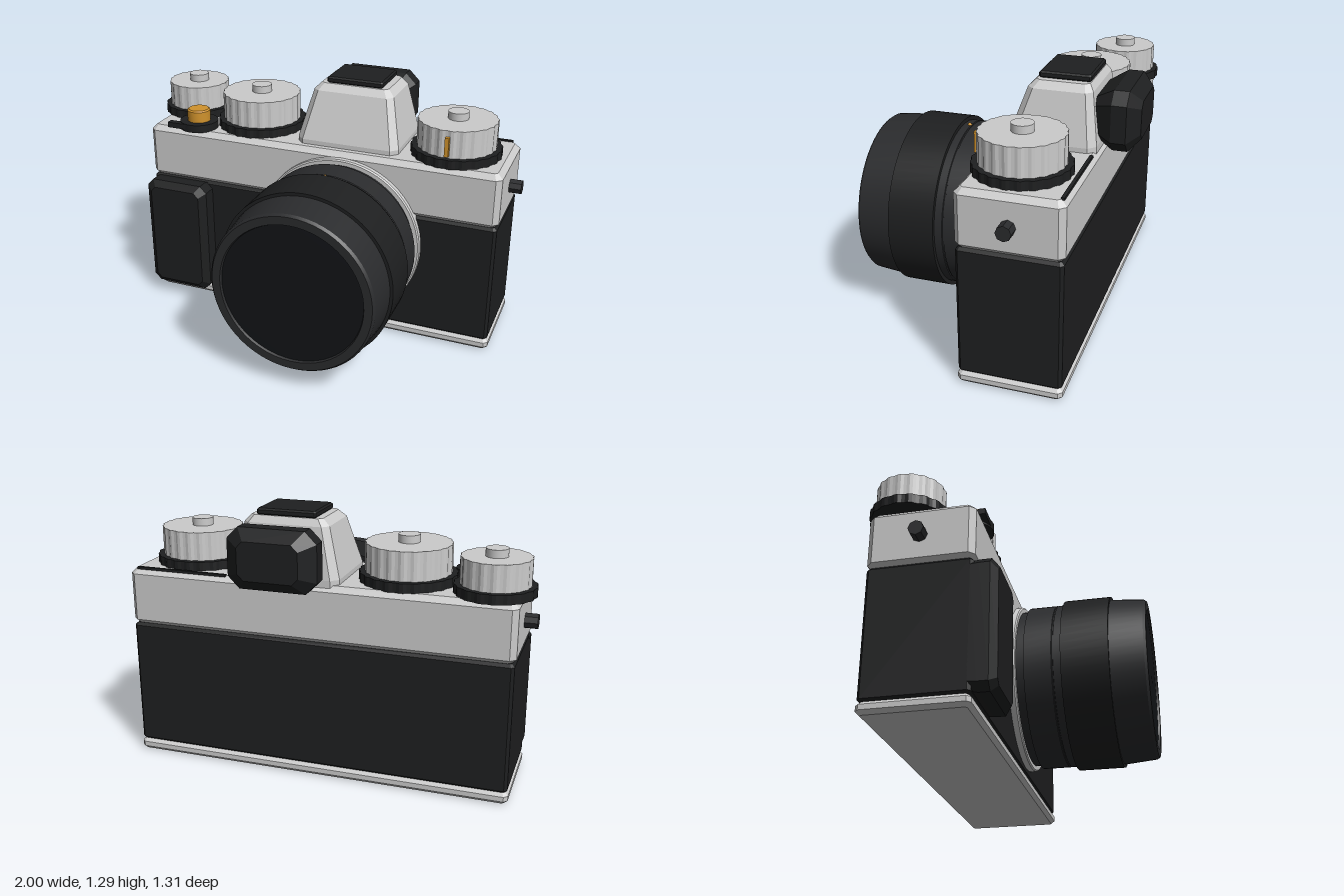
import * as THREE from 'three';
import { toCreasedNormals } from 'three/addons/utils/BufferGeometryUtils.js';

const SILVER = 0xcccccc, BLACK = 0x1e1f20, DARK = 0x2a2b2d, GLASS = 0x121417, ORANGE = 0xd0922c;

function material(color) {
  return new THREE.MeshStandardMaterial({ color });
}

// Stack of octagons (rectangles with cut corners): [halfX, halfZ, cut, y, centreZ]
function loft(sections) {
  const rings = sections.map(([x, z, c, y, cz = 0]) => [
    [-x + c, z], [x - c, z], [x, z - c], [x, -z + c],
    [x - c, -z], [-x + c, -z], [-x, -z + c], [-x, z - c],
  ].map(([px, pz]) => [px, y, pz + cz]));
  const out = [];
  const tri = (a, b, c) => out.push(...a, ...b, ...c);
  for (let i = 0; i < rings.length - 1; i++) {
    for (let k = 0; k < 8; k++) {
      const n = (k + 1) % 8, a = rings[i], b = rings[i + 1];
      tri(a[k], a[n], b[n]);
      tri(a[k], b[n], b[k]);
    }
  }
  const first = rings[0], last = rings[rings.length - 1];
  for (let k = 1; k < 7; k++) {
    tri(last[0], last[k], last[k + 1]);
    tri(first[0], first[k + 1], first[k]);
  }
  const g = new THREE.BufferGeometry();
  g.setAttribute('position', new THREE.Float32BufferAttribute(out, 3));
  g.computeVertexNormals();
  return g;
}

// Box with all edges bevelled, resting on y = 0
function bevelBox(w, h, d, b) {
  const x = w / 2, z = d / 2;
  return loft([
    [x - b, z - b, b * 0.5, 0], [x, z, b, b],
    [x, z, b, h - b], [x - b, z - b, b * 0.5, h],
  ]);
}

// Cylinder resting on y = 0, with alternating flutes on its rim
function fluted(radius, height, flutes, depth) {
  const g = new THREE.CylinderGeometry(radius, radius, height, flutes * 4).toNonIndexed();
  const p = g.attributes.position;
  for (let i = 0; i < p.count; i++) {
    const x = p.getX(i), z = p.getZ(i);
    if (Math.hypot(x, z) < radius * 0.5) continue;
    const step = Math.round(Math.atan2(z, x) / (Math.PI * 2) * flutes * 4);
    const s = (((step % 4) + 4) % 4) < 2 ? 1 : 1 - depth;
    p.setX(i, x * s);
    p.setZ(i, z * s);
  }
  g.translate(0, height / 2, 0);
  g.computeVertexNormals();
  return g;
}

function disc(radius, height, sides = 32) {
  const g = new THREE.CylinderGeometry(radius, radius, height, sides);
  return g.translate(0, height / 2, 0);
}

export function createModel() {
  const model = new THREE.Group();
  model.name = 'camera';

  function add(name, geometry, color, x = 0, y = 0, z = 0, parent = model) {
    const mesh = new THREE.Mesh(geometry, material(color));
    mesh.name = name;
    mesh.position.set(x, y, z);
    parent.add(mesh);
    return mesh;
  }

  // Body
  add('basePlate', bevelBox(1.88, 0.06, 0.49, 0.018), SILVER, 0, 0, -0.245);
  add('leatherBody', bevelBox(1.87, 0.63, 0.482, 0.014), BLACK, 0, 0.055, -0.245);
  add('topCover', bevelBox(1.88, 0.285, 0.49, 0.027), SILVER, 0, 0.677, -0.245);
  add('backSeam', new THREE.BoxGeometry(0.465, 0.012, 0.016), BLACK, 0.668, 0.963, -0.468);

  // Hand grip, lofted towards the front
  const grip = loft([
    [0.175, 0.3, 0.03, -0.02], [0.175, 0.308, 0.035, 0.02],
    [0.175, 0.308, 0.035, 0.07], [0.14, 0.275, 0.025, 0.1],
  ]).rotateX(Math.PI / 2);
  add('handGrip', grip, BLACK, -0.76, 0.375, 0);

  // Lens, profiles turned about the z axis: [radius, z]
  const lens = new THREE.Group();
  lens.name = 'lens';
  lens.position.set(0.145, 0.512, 0);
  model.add(lens);
  const turned = (name, color, profile) => {
    const points = profile.map(([r, z]) => new THREE.Vector2(r, z));
    const g = new THREE.LatheGeometry(points, 64).rotateX(Math.PI / 2);
    add(name, toCreasedNormals(g, 0.3), color, 0, 0, 0, lens);
  };
  turned('lensMount', SILVER, [[0.425, -0.02], [0.425, 0.024], [0.418, 0.03], [0.3, 0.03]]);
  turned('lensBarrel', DARK, [[0.398, 0.02], [0.398, 0.07], [0.415, 0.07], [0.415, 0.205],
    [0.41, 0.207], [0.41, 0.212], [0.415, 0.214], [0.415, 0.26]]);
  turned('focusRing', BLACK, [[0.4, 0.252], [0.435, 0.252], [0.435, 0.482], [0.4, 0.482]]);
  turned('lensFront', DARK, [[0.42, 0.478], [0.405, 0.645], [0.395, 0.658], [0.355, 0.658], [0.35, 0.645]]);
  turned('frontGlass', GLASS, [[0.355, 0.646], [0, 0.65]]);
  add('lensIndexMark', new THREE.SphereGeometry(0.01, 10, 8), ORANGE, 0, 0.415, 0.222, lens);

  // Top dials: [name, x, z, collar radius, knob radius, knob top, flutes]
  const dials = [
    ['advanceDial', -0.812, -0.338, 0.186, 0.16, 1.13, 18],
    ['speedDial', -0.394, -0.25, 0.231, 0.203, 1.142, 22],
    ['rewindDial', 0.666, -0.222, 0.225, 0.197, 1.142, 22],
  ];
  for (const [name, x, z, collar, knob, top, flutes] of dials) {
    const dial = new THREE.Group();
    dial.name = name;
    dial.position.set(x, 0, z);
    model.add(dial);
    add(name + 'Collar', fluted(collar, 0.045, flutes, 0.025), BLACK, 0, 0.96, 0, dial);
    add(name + 'Knob', fluted(knob, top - 1, flutes, 0.025), SILVER, 0, 1, 0, dial);
    add(name + 'Cap', disc(0.051, 0.037), SILVER, 0, top, 0, dial);
  }
  add('rewindMark', new THREE.BoxGeometry(0.02, 0.095, 0.022), ORANGE, 0.666, 1.065, -0.016);

  // Shutter release and its lever
  add('shutterCollar', disc(0.1, 0.04), BLACK, -0.684, 0.96, -0.08);
  add('shutterButton', toCreasedNormals(new THREE.LatheGeometry([
    [0.06, 0], [0.06, 0.058], [0.052, 0.065], [0, 0.065],
  ].map(([r, y]) => new THREE.Vector2(r, y)), 32), 0.3), ORANGE, -0.684, 0.998, -0.08);
  add('shutterLever', new THREE.BoxGeometry(0.13, 0.028, 0.035), BLACK, -0.755, 0.984, -0.003);

  // Viewfinder hump, accessory shoe and eyepiece
  add('viewfinderHump', loft([
    [0.265, 0.21, 0.035, 0.95, -0.265], [0.265, 0.21, 0.035, 0.985, -0.265],
    [0.208, 0.152, 0.03, 1.222, -0.288], [0.175, 0.125, 0.02, 1.255, -0.295],
  ]), SILVER, 0.145);
  add('accessoryShoe', bevelBox(0.29, 0.033, 0.245, 0.008), BLACK, 0.145, 1.253, -0.298);
  const eyepiece = loft([
    [0.145, 0.09, 0.03, -0.655], [0.215, 0.143, 0.055, -0.6],
    [0.215, 0.143, 0.055, -0.53], [0.165, 0.095, 0.035, -0.445],
  ]).rotateX(Math.PI / 2);
  add('eyepiece', eyepiece, BLACK, 0.145, 1.093, 0);

  // Strap lugs on both ends
  for (const side of [-1, 1]) {
    const lug = new THREE.CylinderGeometry(0.036, 0.036, 0.08, 8).toNonIndexed();
    lug.computeVertexNormals();
    lug.rotateZ(Math.PI / 2);
    add(side > 0 ? 'leftStrapLug' : 'rightStrapLug', lug, DARK, side * 0.96, 0.818, -0.247);
  }
  return model;
}
